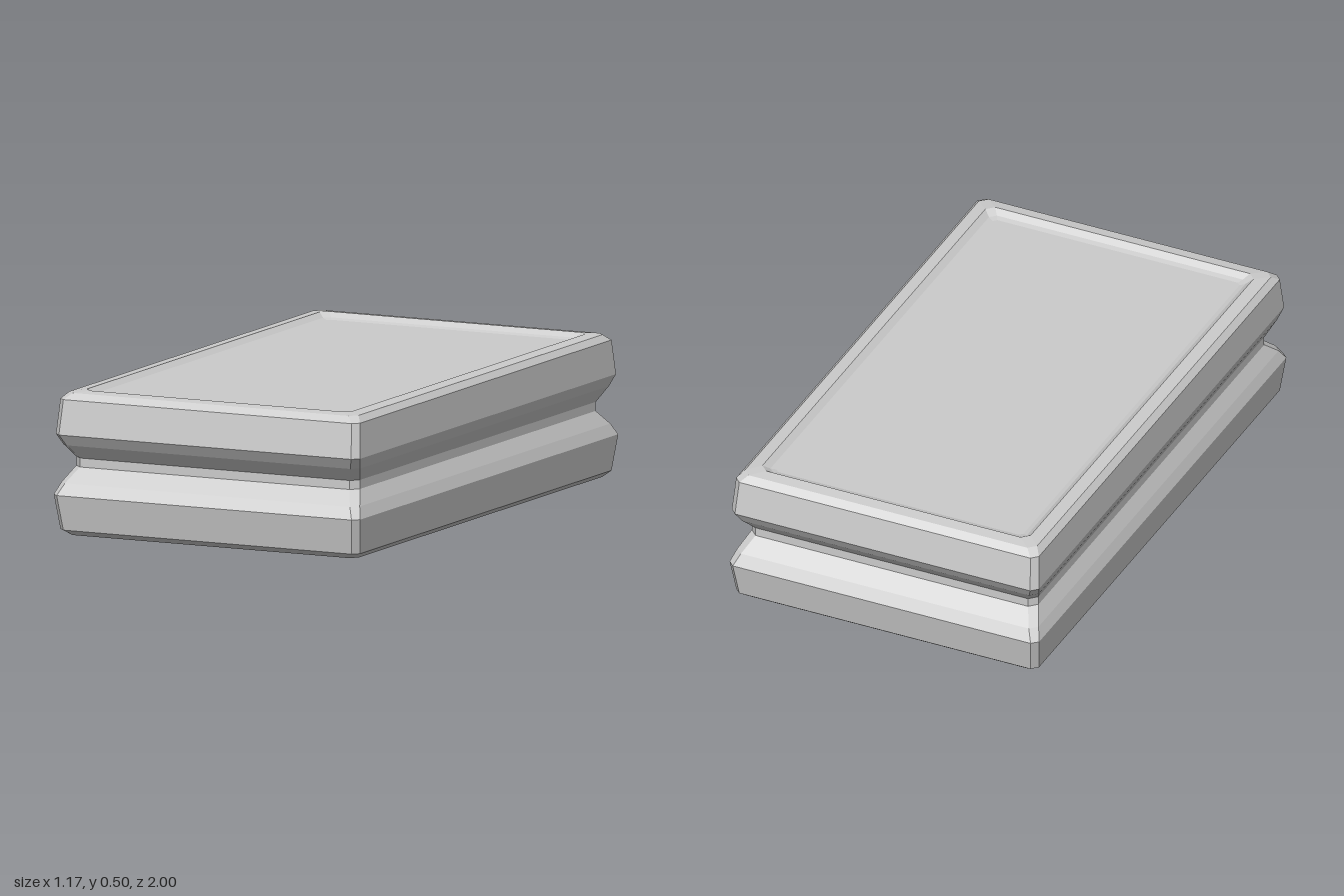
import * as THREE from 'three';

// Corners of a rectangle with chamfered corners, seen counter-clockwise from below
function ring([hx, hz, y, c]) {
  const pts = [];
  for (const [sx, sz, swap] of [[1, 1, 0], [1, -1, 1], [-1, -1, 0], [-1, 1, 1]]) {
    const a = [sx * (hx - c), y, sz * hz];
    const b = [sx * hx, y, sz * (hz - c)];
    pts.push(...(swap ? [b, a] : [a, b]));
  }
  return pts;
}

// Flat-shaded skin through a stack of rings, listed from the bottom up
function loft(name, sections, material) {
  const rings = sections.map(ring);
  const n = 8, index = [];
  for (let i = 0; i < rings.length - 1; i++) {
    for (let j = 0; j < n; j++) {
      const k = (j + 1) % n;
      const a = i * n + j, b = i * n + k, c = a + n, d = b + n;
      index.push(a, b, d, a, d, c);
    }
  }
  return finish(name, rings.flat(), index, material);
}

// Flat panel filling one ring, facing up or down
function panel(name, section, up, material) {
  const index = [];
  for (let j = 1; j < 7; j++) index.push(0, ...(up ? [j, j + 1] : [j + 1, j]));
  return finish(name, ring(section), index, material);
}

function finish(name, points, index, material) {
  const indexed = new THREE.BufferGeometry();
  indexed.setAttribute('position', new THREE.Float32BufferAttribute(points.flat(), 3));
  indexed.setIndex(index);
  const geometry = indexed.toNonIndexed();
  geometry.computeVertexNormals();
  const mesh = new THREE.Mesh(geometry, material);
  mesh.name = name;
  return mesh;
}

export function createModel() {
  const group = new THREE.Group();
  group.name = 'groovedBlock';
  const material = new THREE.MeshStandardMaterial({ color: 0xcccccc, flatShading: true });

  // Each section: half width, half depth, height, corner chamfer
  const bottomPanel = [0.465, 0.867, 0.02, 0.012];
  const topPanel = [0.465, 0.867, 0.48, 0.012];

  // Recess wall and rim around the bottom panel
  const bottomRim = [
    bottomPanel,
    [0.483, 0.885, 0.015, 0.02],
    [0.505, 0.907, 0, 0.025],
    [0.55, 0.95, 0.006, 0.025],
    [0.57, 0.975, 0.025, 0.022],
  ];
  // Bulging sides with the waist groove between them
  const sides = [
    [0.57, 0.975, 0.025, 0.022],
    [0.583, 1.0, 0.147, 0.022],
    [0.567, 0.975, 0.187, 0.025],
    [0.54, 0.92, 0.237, 0.027],
    [0.54, 0.92, 0.268, 0.027],
    [0.565, 0.968, 0.317, 0.025],
    [0.578, 0.993, 0.355, 0.022],
    [0.57, 0.975, 0.475, 0.022],
  ];
  // Rim and recess wall around the top panel
  const topRim = [
    [0.57, 0.975, 0.475, 0.022],
    [0.55, 0.95, 0.496, 0.025],
    [0.505, 0.907, 0.501, 0.025],
    [0.483, 0.885, 0.485, 0.02],
    topPanel,
  ];

  group.add(
    panel('bottomPanel', bottomPanel, false, material),
    loft('bottomRim', bottomRim, material),
    loft('sides', sides, material),
    loft('topRim', topRim, material),
    panel('topPanel', topPanel, true, material),
  );
  return group;
}
